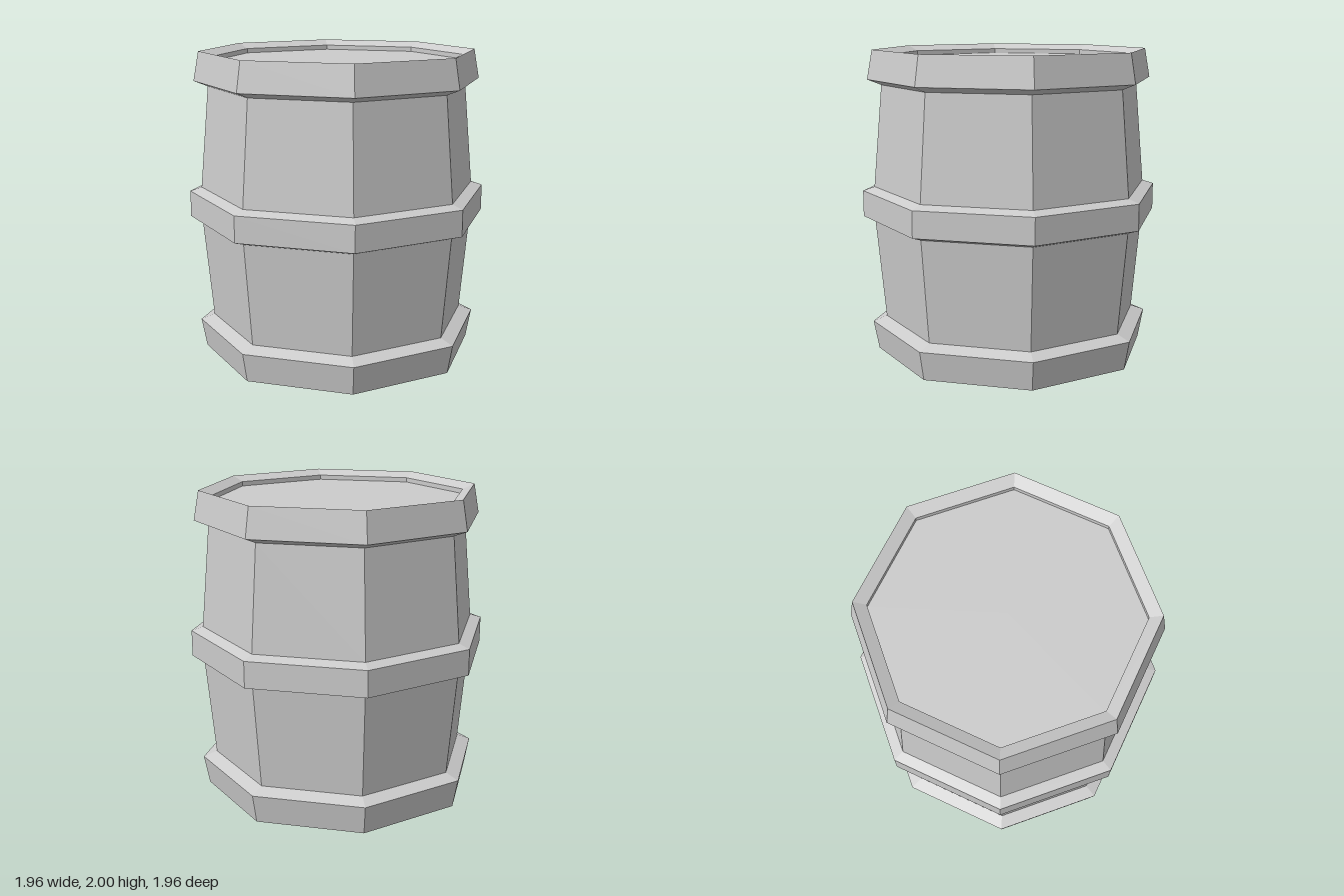
import * as THREE from 'three';

const SIDES = 8;

export function createModel() {
  const barrel = new THREE.Group();
  barrel.name = 'barrel';
  const material = new THREE.MeshStandardMaterial({ color: 0xcccccc, flatShading: true });

  const add = (name, geometry) => {
    const mesh = new THREE.Mesh(geometry, material);
    mesh.name = name;
    barrel.add(mesh);
    return mesh;
  };

  // Eight-sided band from [radius, height] pairs, listed bottom to top on the outside
  const band = (name, profile) =>
    add(name, new THREE.LatheGeometry(profile.map(([r, y]) => new THREE.Vector2(r, y)), SIDES));

  // The same profile turned upside down
  const flip = (profile) => profile.map(([r, y]) => [r, 2 - y]).reverse();

  // End rims: flared outside, bevelled lip and a short wall down to the lid
  const rim = [[0.845, 1.775], [0.935, 1.81], [0.9, 2], [0.82, 1.965], [0.82, 1.935]];
  band('topRim', rim);
  band('bottomRim', flip(rim));

  // Tapered staves above and below the middle
  const staves = [[0.905, 1.11], [0.845, 1.775]];
  band('upperStaves', staves);
  band('lowerStaves', flip(staves));

  // Middle hoop with bevelled edges
  band('middleHoop', [[0.905, 0.89], [0.98, 0.915], [0.98, 1.085], [0.905, 1.11]]);

  // Recessed lids
  for (const [name, y, side] of [['topLid', 1.935, -1], ['bottomLid', 0.065, 1]]) {
    const lid = add(name, new THREE.CircleGeometry(0.82, SIDES));
    lid.rotation.x = side * Math.PI / 2;
    lid.position.y = y;
  }

  return barrel;
}
